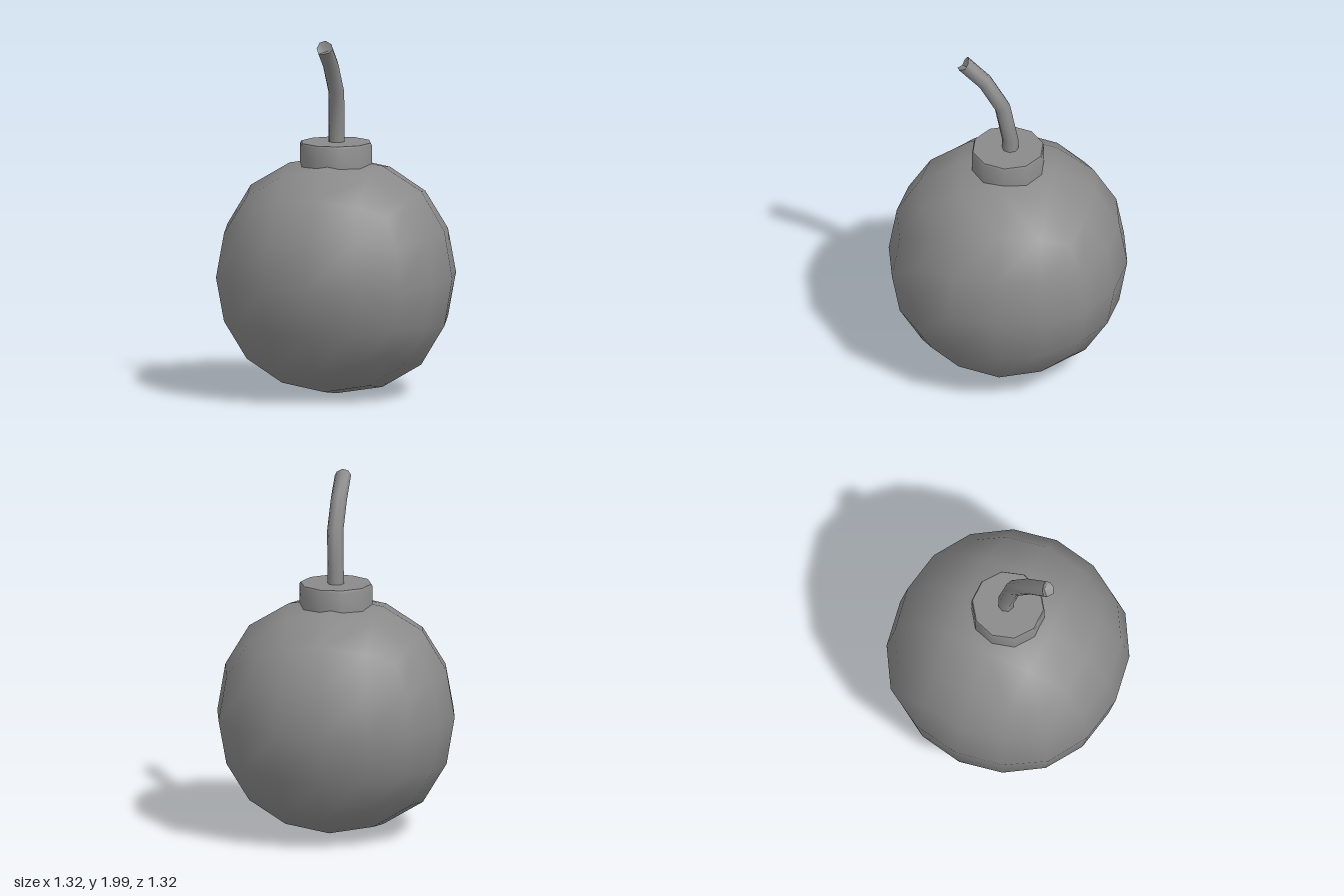
import * as THREE from 'three';
import { mergeVertices, toCreasedNormals } from 'three/addons/utils/BufferGeometryUtils.js';

const material = new THREE.MeshStandardMaterial({ color: 0x8a8a8a });

function makeMesh(name, geometry) {
  const mesh = new THREE.Mesh(geometry, material);
  mesh.name = name;
  return mesh;
}

// Ball: a 4 x 4 x 4 box rounded like a twice-subdivided cube.
// Each row maps a grid step (0, 1, 2) to a coordinate, keyed by the sorted steps.
function ballGeometry(radius) {
  const rounded = {
    '002': [0, 0, 1],
    '012': [0, 0.399, 0.932],
    '022': [0, 0, 0.732],
    '112': [0, 0.371, 0.87],
    '122': [0, 0.344, 0.682],
    '222': [0, 0, 0.58],
  };
  let geo = new THREE.BoxGeometry(4, 4, 4, 4, 4, 4);
  geo.deleteAttribute('normal');
  geo.deleteAttribute('uv');
  geo = mergeVertices(geo);
  const pos = geo.attributes.position;
  for (let i = 0; i < pos.count; i++) {
    const p = [pos.getX(i), pos.getY(i), pos.getZ(i)].map(Math.round);
    const row = rounded[p.map(Math.abs).sort().join('')];
    pos.setXYZ(i, ...p.map((c) => Math.sign(c) * row[Math.abs(c)] * radius));
  }
  geo.computeVertexNormals();
  return geo;
}

// Collar: ten-sided disc with a small chamfer on top
function collarGeometry() {
  const profile = [[0, 1.2], [0.203, 1.2], [0.203, 1.388], [0.197, 1.4], [0, 1.4]];
  const points = profile.map(([r, y]) => new THREE.Vector2(r, y));
  return toCreasedNormals(new THREE.LatheGeometry(points, 10, Math.PI / 2), 0.9);
}

// Fuse: eight-sided bent tube with a ragged, hollowed tip
function fuseGeometry() {
  const radius = 0.045;
  const sides = 8;
  const path = [
    [-0.004, 1.957, 0.246], [0.002, 1.845, 0.127], [0.009, 1.685, 0.03],
    [0, 1.46, -0.012], [0, 1.3, -0.012],
  ].map((p) => new THREE.Vector3(...p));
  const ragged = [0.003, 0, -0.012, -0.006, 0.006, 0.004, -0.004, -0.015];
  const X = new THREE.Vector3(1, 0, 0);

  const geo = new THREE.CylinderGeometry(1, 1, 1, sides, path.length, true);
  const pos = geo.attributes.position;
  for (let i = 0; i < pos.count; i++) {
    const row = Math.floor(i / (sides + 1));
    const column = i % (sides + 1);
    const k = Math.max(row - 1, 0); // row 0 is the hollow inside the tip
    const tangent = new THREE.Vector3();
    if (k > 0) tangent.add(path[k - 1].clone().sub(path[k]).normalize());
    if (k < path.length - 1) tangent.add(path[k].clone().sub(path[k + 1]).normalize());
    tangent.normalize();
    const normal = X.clone().cross(tangent).normalize();
    const r = row === 0 ? 0 : radius;
    const angle = (column / sides) * Math.PI * 2;
    const along = row === 0 ? -0.035 : row === 1 ? ragged[column % sides] : 0;
    const v = path[k].clone()
      .addScaledVector(X, Math.sin(angle) * r)
      .addScaledVector(normal, Math.cos(angle) * r)
      .addScaledVector(tangent, along);
    pos.setXYZ(i, v.x, v.y, v.z);
  }
  return toCreasedNormals(geo, 1.0);
}

export function createModel() {
  const model = new THREE.Group();
  model.name = 'roundBomb';
  const ball = makeMesh('ball', ballGeometry(0.66));
  ball.position.y = 0.66;
  model.add(ball, makeMesh('collar', collarGeometry()), makeMesh('fuse', fuseGeometry()));
  return model;
}
